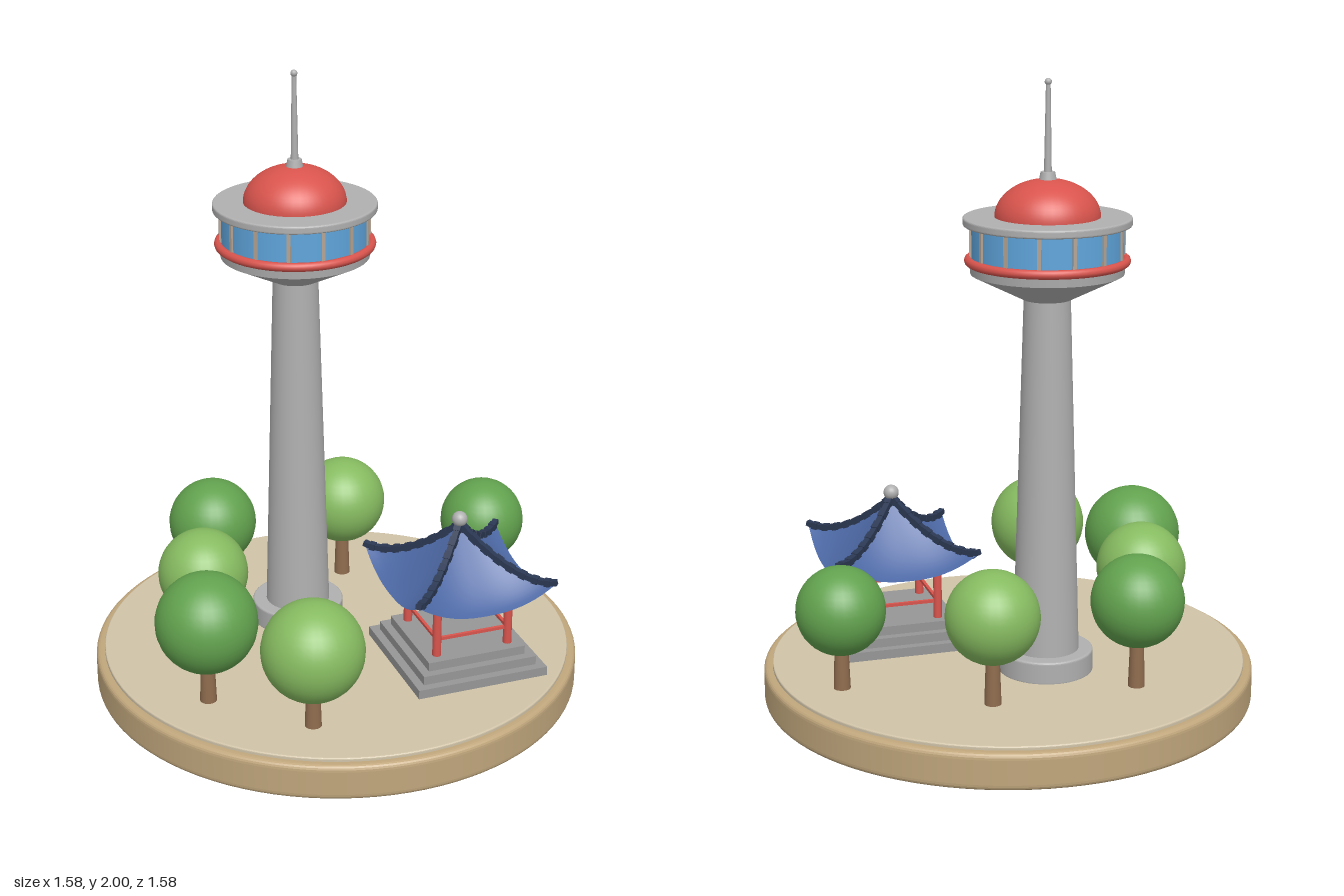
import * as THREE from 'three';

const mat = (color, extra = {}) => new THREE.MeshStandardMaterial({ color, ...extra });
const M = {
  stone: mat(0xb0b0b0), step: mat(0x969696), red: mat(0xd9544d), glass: mat(0x5fa5dc),
  frame: mat(0xb5a594), rim: mat(0xc0a67c), ground: mat(0xd0c3a8), trunk: mat(0x8f6c4e),
  darkLeaf: mat(0x62a24e), lightLeaf: mat(0x86bb60), ridge: mat(0x2b3853),
  roof: mat(0x4c68a4, { side: THREE.DoubleSide }),
};

function add(parent, name, geometry, material, x = 0, y = 0, z = 0) {
  const mesh = new THREE.Mesh(geometry, material);
  mesh.name = name;
  mesh.position.set(x, y, z);
  parent.add(mesh);
  return mesh;
}

// Solid of revolution with rounded outer edges, standing on y = 0
function disc(r, h, bevel, segments = 64) {
  const s = new THREE.Shape();
  s.moveTo(0, 0);
  s.lineTo(r - bevel, 0);
  s.quadraticCurveTo(r, 0, r, bevel);
  s.lineTo(r, h - bevel);
  s.quadraticCurveTo(r, h, r - bevel, h);
  s.lineTo(0, h);
  // doubled points keep the flat faces flat
  const pts = s.getPoints(5).flatMap((p, i, a) => (i && i < a.length - 1 ? [p, p.clone()] : [p]));
  return new THREE.LatheGeometry(pts, segments);
}

function group(parent, name, x, y, z) {
  const g = new THREE.Group();
  g.name = name;
  g.position.set(x, y, z);
  parent.add(g);
  return g;
}

function buildTower(parent) {
  const g = group(parent, 'tower', -0.03, 0, -0.18);
  add(g, 'plinth', disc(0.15, 0.075, 0.008, 48), M.stone, 0, 0.125, 0);
  add(g, 'shaft', new THREE.CylinderGeometry(0.072, 0.105, 1.14, 48), M.stone, 0, 0.77, 0);
  // Observation deck
  add(g, 'deckCone', new THREE.CylinderGeometry(0.235, 0.075, 0.08, 48), M.stone, 0, 1.37, 0);
  add(g, 'deckFloor', new THREE.CylinderGeometry(0.24, 0.235, 0.05, 48), M.stone, 0, 1.435, 0);
  const band = add(g, 'redBand', new THREE.TorusGeometry(0.24, 0.014, 10, 64), M.red, 0, 1.45, 0);
  band.rotation.x = Math.PI / 2;
  add(g, 'windowBand', new THREE.CylinderGeometry(0.233, 0.233, 0.11, 56), M.glass, 0, 1.51, 0);
  for (let i = 0; i < 14; i++) {
    const a = (i / 14) * Math.PI * 2;
    const bar = add(g, 'mullion', new THREE.BoxGeometry(0.012, 0.1, 0.012), M.frame,
      Math.cos(a) * 0.233, 1.51, Math.sin(a) * 0.233);
    bar.rotation.y = -a;
  }
  add(g, 'deckRoof', disc(0.258, 0.026, 0.007), M.stone, 0, 1.558, 0);
  // Dome and antenna
  const dome = add(g, 'dome', new THREE.SphereGeometry(0.162, 40, 16, 0, Math.PI * 2, 0, Math.PI / 2), M.red, 0, 1.582, 0);
  dome.scale.y = 0.72;
  add(g, 'antennaBase', new THREE.CylinderGeometry(0.022, 0.028, 0.03, 20), M.stone, 0, 1.705, 0);
  add(g, 'antenna', new THREE.CylinderGeometry(0.007, 0.012, 0.28, 12), M.stone, 0, 1.85, 0);
  add(g, 'antennaTip', new THREE.SphereGeometry(0.011, 14, 10), M.stone, 0, 1.989, 0);
}

// Roof height at t (0 apex, 1 eave) and s (-1..1 along the eave)
const roofY = (s, t) => 0.39 + 0.21 * Math.pow(1 - t, 1.45) + 0.07 * Math.pow(Math.abs(s), 2.4) * t * t;
const ROOF_HALF = 0.232;

function buildPavilion(parent) {
  const g = group(parent, 'pavilion', 0.24, 0, 0.34);
  g.rotation.y = -0.26;
  [0.44, 0.385, 0.33].forEach((w, i) =>
    add(g, 'step', new THREE.BoxGeometry(w, 0.03, w), M.step, 0, 0.145 + i * 0.029, 0));

  // One roof panel, bent from a grid and repeated on four sides
  const panel = new THREE.PlaneGeometry(2, 1, 20, 14);
  const p = panel.attributes.position;
  for (let i = 0; i < p.count; i++) {
    const s = p.getX(i), t = 0.5 - p.getY(i);
    p.setXYZ(i, s * t * ROOF_HALF, roofY(s, t), t * ROOF_HALF);
  }
  panel.computeVertexNormals();

  const hip = t => new THREE.Vector3(t * ROOF_HALF, roofY(1, t) + 0.005, t * ROOF_HALF);
  const n = 16, h = 0.122;
  for (let k = 0; k < 4; k++) {
    const side = group(g, 'pavilionSide', 0, 0, 0);
    side.rotation.y = (k * Math.PI) / 2;
    add(side, 'roofPanel', panel, M.roof);
    // Tiled hip ridge
    for (let i = 0; i < n; i++) {
      const a = hip((i / n) * 1.02), b = hip(Math.min(1, (i + 1) / n));
      const tile = add(side, 'ridgeTile',
        new THREE.BoxGeometry(i % 2 ? 0.019 : 0.023, i % 2 ? 0.017 : 0.022, a.distanceTo(b) + 0.005), M.ridge);
      tile.position.copy(a).add(b).multiplyScalar(0.5);
      tile.lookAt(b.clone().add(b).sub(a).applyAxisAngle(new THREE.Vector3(0, 1, 0), 0));
      // orient in the side's own frame
      tile.quaternion.setFromRotationMatrix(new THREE.Matrix4().lookAt(b, a, new THREE.Vector3(0, 1, 0)));
    }
    add(side, 'post', new THREE.CylinderGeometry(0.014, 0.014, 0.2, 16), M.red, h, 0.31, h);
    add(side, 'beam', new THREE.BoxGeometry(h * 2, 0.022, 0.018), M.red, 0, 0.39, h);
    add(side, 'rail', new THREE.BoxGeometry(h * 2, 0.01, 0.01), M.red, 0, 0.275, h);
  }
  add(g, 'finial', new THREE.SphereGeometry(0.025, 20, 14), M.stone, 0, 0.62, 0);
}

function buildTree(parent, [x, y, z, r, leaf]) {
  const g = group(parent, 'tree', x, 0, z);
  add(g, 'trunk', new THREE.CylinderGeometry(0.02, 0.027, y - 0.2, 16), M.trunk, 0, 0.12 + (y - 0.2) / 2, 0);
  add(g, 'crown', new THREE.SphereGeometry(r, 32, 22), leaf, 0, y, 0);
}

export function createModel() {
  const model = new THREE.Group();
  model.name = 'towerPark';
  add(model, 'base', disc(0.79, 0.118, 0.02, 96), M.rim);
  add(model, 'ground', disc(0.762, 0.03, 0.006, 96), M.ground, 0, 0.1, 0);
  buildTower(model);
  buildPavilion(model);
  // Trees: x, crown height, z, crown radius, leaf
  [
    [-0.57, 0.405, 0.12, 0.16, M.darkLeaf],
    [-0.385, 0.39, 0.43, 0.16, M.lightLeaf],
    [-0.4, 0.4, -0.175, 0.145, M.lightLeaf],
    [-0.187, 0.41, -0.46, 0.146, M.darkLeaf],
    [0.27, 0.41, -0.35, 0.146, M.lightLeaf],
    [0.603, 0.385, 0.005, 0.14, M.darkLeaf],
  ].forEach(t => buildTree(model, t));
  return model;
}
